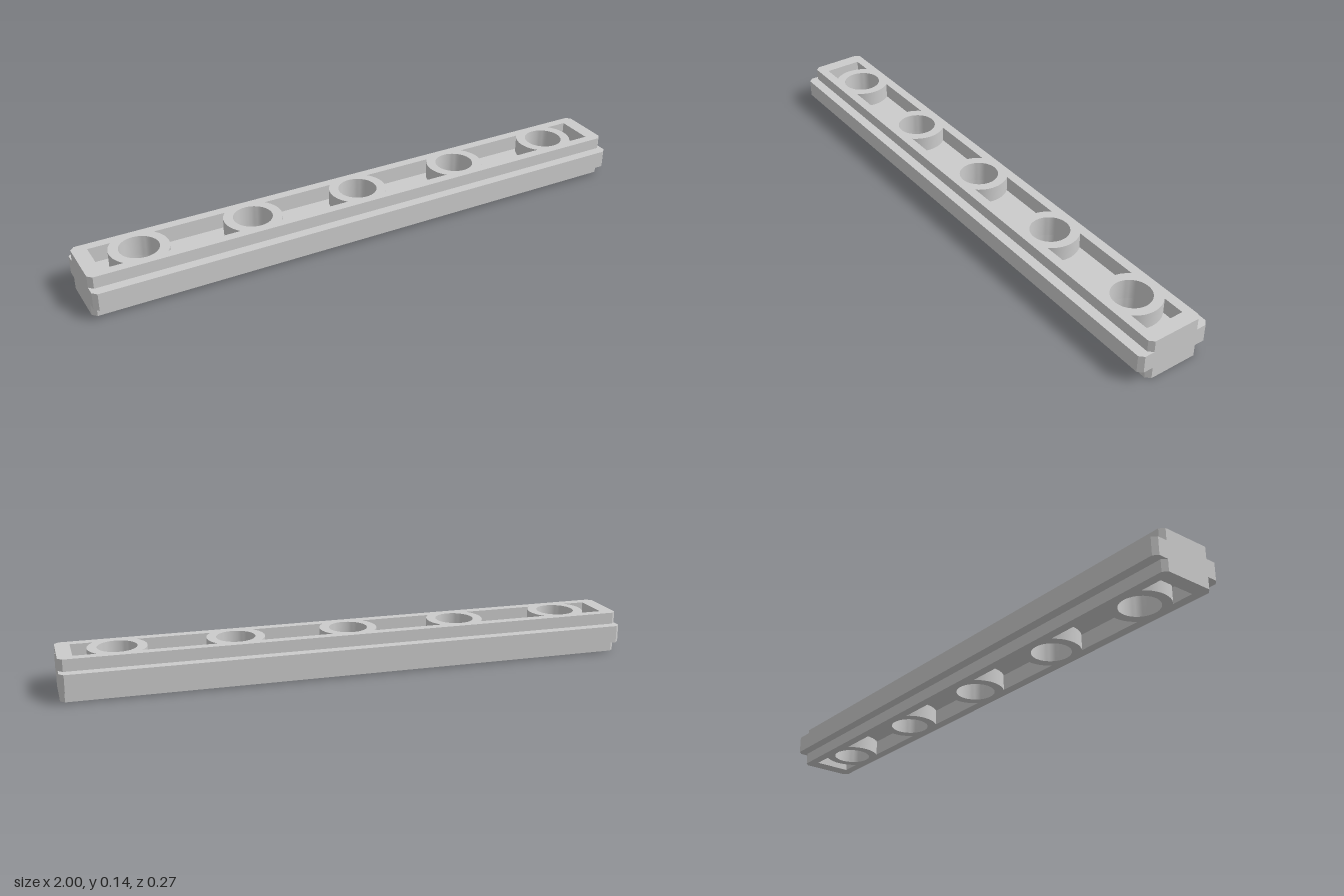
import * as THREE from 'three';
import { mergeGeometries, toCreasedNormals } from 'three/addons/utils/BufferGeometryUtils.js';

const H = 0.145, MID = H / 2;          // total height, mirror plane
const RIM = MID + 0.031;               // top of the side flange (above the mirror plane)
const FLOOR = MID + 0.017;             // pocket floor
const HOLES = [-0.8, -0.4, 0, 0.4, 0.8];
const HOLE_R = 0.067, BOSS_R = 0.1, POCKET_Z = 0.067, POCKET_END = 0.95;

const v = (x, y) => new THREE.Vector2(x, y);

// Plan outline with chamfered corners, counter-clockwise
function outline(w, c = 0.015) {
  return [v(-1 + c, -w), v(1 - c, -w), v(1, -w + c), v(1, w - c),
    v(1 - c, w), v(-1 + c, w), v(-1, w - c), v(-1, -w + c)];
}

function circle(x, r, n = 40) {
  return Array.from({ length: n }, (_, i) => {
    const a = (i / n) * Math.PI * 2;
    return v(x + r * Math.cos(a), r * Math.sin(a));
  });
}

// One side of a pocket, from -z to +z: a boss arc, or a straight end wall
function pocketSide(i, dir) {
  const x = HOLES[i];
  if (x === undefined) return [v(-dir * POCKET_END, -POCKET_Z), v(-dir * POCKET_END, POCKET_Z)];
  const half = Math.asin(POCKET_Z / BOSS_R), n = 12;
  return Array.from({ length: n + 1 }, (_, k) => {
    const a = half * (2 * k / n - 1);
    return v(x + dir * BOSS_R * Math.cos(a), BOSS_R * Math.sin(a));
  });
}

// Pocket lying between hole i-1 and hole i
function pocket(i) {
  return [...pocketSide(i, -1), ...pocketSide(i - 1, 1).reverse()];
}

// Horizontal face with holes, facing up
function face(points, holes, y) {
  const shape = new THREE.Shape(points);
  shape.holes = holes.map((h) => new THREE.Path(h));
  const g = new THREE.ShapeGeometry(shape).rotateX(-Math.PI / 2).translate(0, y, 0).toNonIndexed();
  g.deleteAttribute('uv');
  return g;
}

// Vertical band along a closed outline; inward turns it to face the inside
function wall(points, y0, y1, inward = false) {
  const pts = inward ? [...points].reverse() : points;
  const pos = [];
  pts.forEach((p, i) => {
    const q = pts[(i + 1) % pts.length];
    const a = [p.x, y0, -p.y], b = [q.x, y0, -q.y];
    const c = [q.x, y1, -q.y], d = [p.x, y1, -p.y];
    pos.push(...a, ...b, ...c, ...a, ...c, ...d);
  });
  const g = new THREE.BufferGeometry();
  g.setAttribute('position', new THREE.Float32BufferAttribute(pos, 3));
  return toCreasedNormals(g, Math.PI / 6);
}

export function createModel() {
  const material = new THREE.MeshStandardMaterial({ color: 0xcccccc });
  const wide = outline(0.135), narrow = outline(0.1);
  const bores = HOLES.map((x) => circle(x, HOLE_R));
  const pockets = Array.from({ length: HOLES.length + 1 }, (_, i) => pocket(i));

  const parts = {
    // Side flange and the ledge on top of it
    flange: [wall(wide, MID, RIM), face(wide, [narrow], RIM)],
    // Raised rail with its pierced top
    rail: [wall(narrow, RIM, H), face(narrow, [...bores, ...pockets], H)],
    // Round through holes
    holes: bores.map((b) => wall(b, MID, H, true)),
    // Recesses between the bosses
    pockets: pockets.flatMap((p) => [wall(p, FLOOR, H, true), face(p, [], FLOOR)]),
  };

  const model = new THREE.Group();
  model.name = 'beam';
  for (const half of ['upper', 'lower']) {
    const group = new THREE.Group();
    group.name = half + 'Half';
    for (const [name, list] of Object.entries(parts)) {
      const mesh = new THREE.Mesh(mergeGeometries(list), material);
      mesh.name = name;
      group.add(mesh);
    }
    // The lower half is the upper one turned over
    if (half === 'lower') {
      group.rotation.x = Math.PI;
      group.position.y = H;
    }
    model.add(group);
  }
  return model;
}
